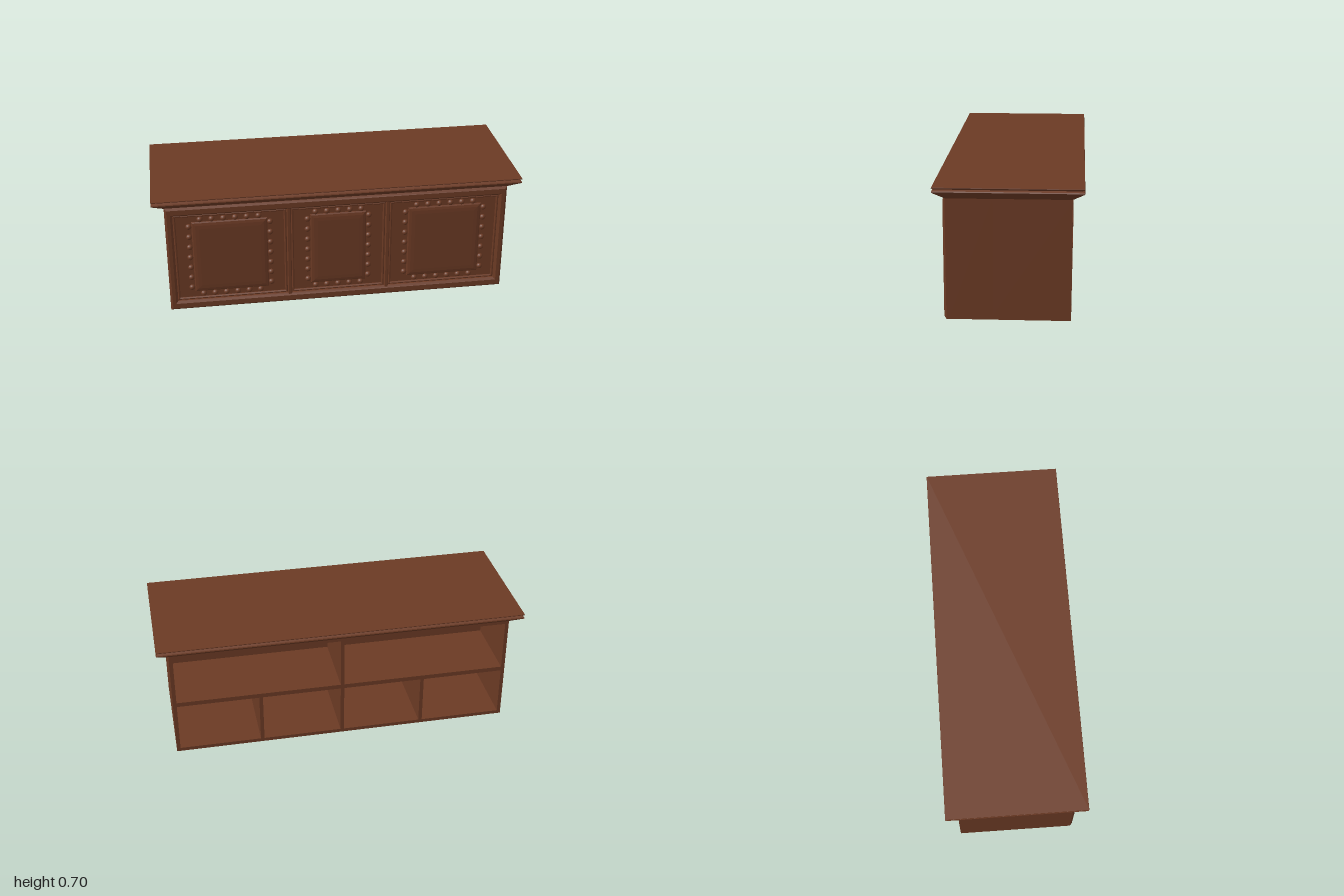
import * as THREE from 'three';

const wood = new THREE.MeshStandardMaterial({ color: 0x6b3a24 });
wood.name = 'brownWood';

export function createModel() {
  const model = new THREE.Group();

  const add = (name, geometry, x = 0, y = 0, z = 0) => {
    const mesh = new THREE.Mesh(geometry, wood);
    mesh.name = name;
    mesh.position.set(x, y, z);
    model.add(mesh);
    return mesh;
  };

  // box given by its limits
  const board = (name, x0, x1, y0, y1, z0, z1) =>
    add(name, new THREE.BoxGeometry(x1 - x0, y1 - y0, z1 - z0),
      (x0 + x1) / 2, (y0 + y1) / 2, (z0 + z1) / 2);

  // stacked rectangles [halfX, halfZ, y], capped at both ends, flat faces
  const loft = (rings) => {
    const corners = rings.map(([a, b, y]) =>
      [[-a, y, b], [a, y, b], [a, y, -b], [-a, y, -b]]);
    const pos = [];
    const quad = (a, b, c, d) => pos.push(...a, ...b, ...c, ...a, ...c, ...d);
    for (let i = 0; i < corners.length - 1; i++) {
      const p = corners[i], q = corners[i + 1];
      for (let k = 0; k < 4; k++) {
        const n = (k + 1) % 4;
        quad(p[k], p[n], q[n], q[k]);
      }
    }
    quad(...corners[corners.length - 1]);
    quad(...[...corners[0]].reverse());
    const g = new THREE.BufferGeometry();
    g.setAttribute('position', new THREE.Float32BufferAttribute(pos, 3));
    g.computeVertexNormals();
    return g;
  };

  // rectangular frame with a chamfered front, limits [x0, x1, y0, y1]
  const trace = (path, [x0, x1, y0, y1]) => {
    path.moveTo(x0, y0);
    path.lineTo(x1, y0);
    path.lineTo(x1, y1);
    path.lineTo(x0, y1);
    path.closePath();
    return path;
  };
  const frame = (name, outer, inner, z, depth, bevel) => {
    const shape = trace(new THREE.Shape(), outer);
    shape.holes.push(trace(new THREE.Path(), inner));
    add(name, new THREE.ExtrudeGeometry(shape, {
      depth, bevelEnabled: true, bevelSegments: 1,
      bevelSize: bevel, bevelThickness: bevel, bevelOffset: -bevel,
    }), 0, 0, z);
  };

  const W = 0.935, H = 0.63, BACK = -0.312, INNER = 0.08, FACE = 0.303, T = 0.02;

  // carcass: solid front block with open compartments behind
  board('frontBlock', -W, W, 0, H, INNER, FACE);
  board('bottomBoard', -W, W, 0, T, BACK, INNER);
  board('topBoard', -W, W, H - T, H, BACK, INNER);
  for (const s of [-1, 1]) {
    const x = s * (W - T / 2);
    board('sideBoard', x - T / 2, x + T / 2, T, H - T, BACK, INNER);
    board('lowerDivider', s * 0.455 - 0.01, s * 0.455 + 0.01, T, 0.3, BACK, INNER);
  }
  board('middleShelf', -W + T, W - T, 0.3, 0.325, BACK, INNER);
  board('upperCentreDivider', -0.01, 0.01, 0.325, H - T, BACK, INNER);
  board('lowerCentreDivider', -0.01, 0.01, T, 0.3, BACK, INNER);

  // moulded top
  add('moulded top', loft([
    [0.937, 0.314, 0.628], [0.996, 0.370, 0.669], [1.0, 0.373, 0.673],
    [0.997, 0.371, 0.678], [0.985, 0.358, 0.684], [0.997, 0.371, 0.691],
    [1.0, 0.373, 0.694], [0.999, 0.372, 0.697],
  ]));

  // front face frame and the two slim stiles
  frame('faceFrame', [-W, W, 0, H], [-0.893, 0.893, 0.052, 0.578], 0.29, 0.025, 0.012);
  for (const s of [-1, 1]) {
    const stile = add('stile', loft([
      [0.012, 0.275, 0], [0.012, 0.275, 0.014], [0.007, 0.275, 0.02],
    ]), s * 0.272, 0.315, FACE - 0.002);
    stile.rotation.x = Math.PI / 2;
  }

  // three panels: moulding, raised field and a border of studs
  const studGeometry = new THREE.SphereGeometry(0.0165, 12, 6, 0, Math.PI * 2, 0, Math.PI / 2);
  studGeometry.rotateX(Math.PI / 2);
  const panels = [
    { x0: -0.893, x1: -0.284, cx: -0.592, half: 0.204, count: 6 },
    { x0: -0.260, x1: 0.260, cx: 0, half: 0.154, count: 5 },
    { x0: 0.284, x1: 0.893, cx: 0.592, half: 0.204, count: 6 },
  ];
  for (const { x0, x1, cx, half, count } of panels) {
    frame('panelMoulding', [x0, x1, 0.052, 0.578],
      [x0 + 0.014, x1 - 0.014, 0.066, 0.564], FACE - 0.006, 0.009, 0.005);

    const field = add('raisedField', loft([
      [half, 0.215, 0], [half, 0.215, 0.004], [half - 0.006, 0.209, 0.009],
      [half - 0.02, 0.195, 0.012], [half - 0.04, 0.175, 0.013],
    ]), cx, 0.316, FACE - 0.001);
    field.rotation.x = Math.PI / 2;

    for (let i = 0; i < count; i++) {
      const x = cx + (i - (count - 1) / 2) * 0.063;
      for (const y of [0.085, 0.546]) add('stud', studGeometry, x, y, FACE);
    }
    for (let i = 0; i < 7; i++) {
      for (const s of [-1, 1]) {
        add('stud', studGeometry, cx + s * (half + 0.015), 0.128 + i * 0.0628, FACE);
      }
    }
  }

  return model;
}
